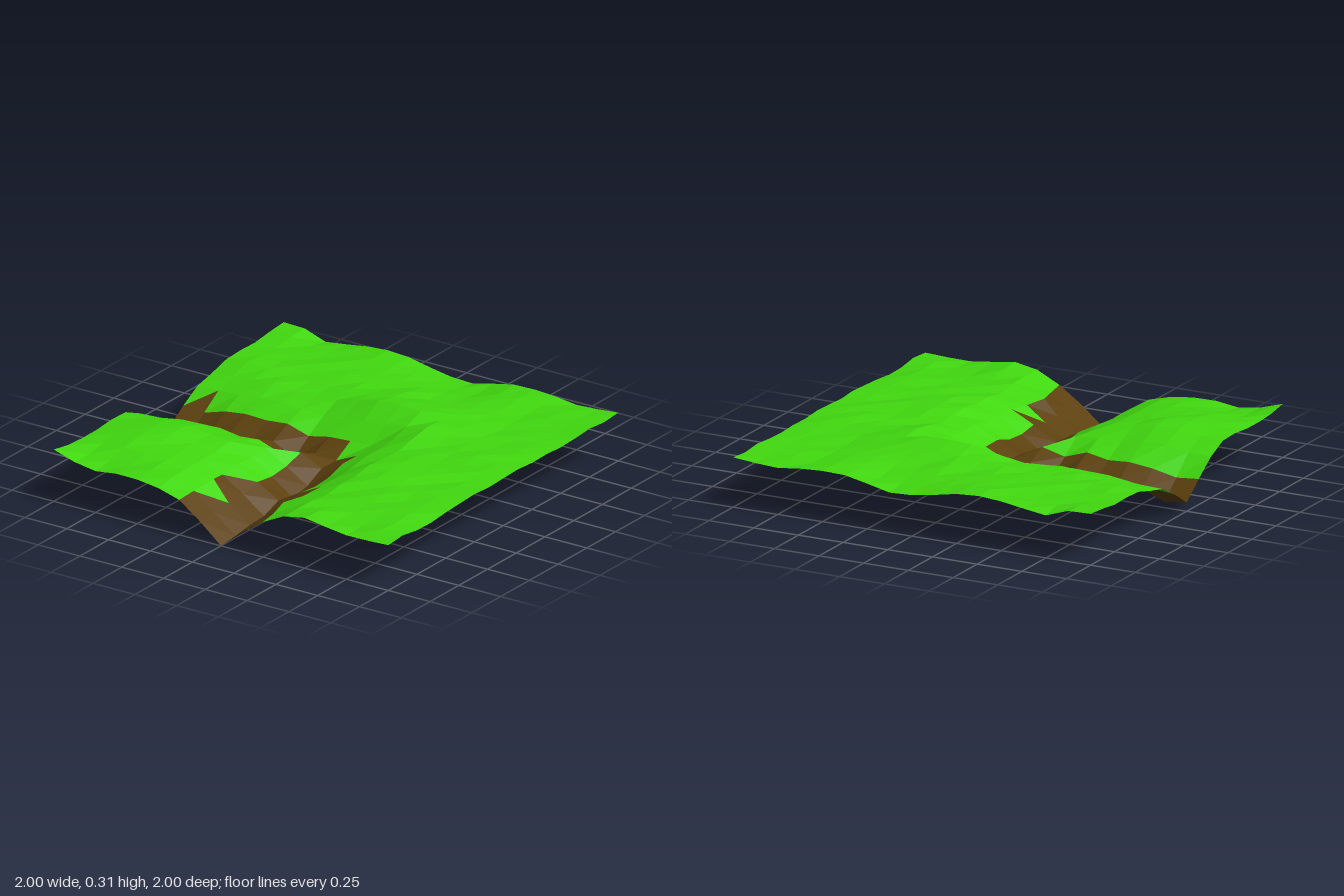
import * as THREE from 'three';

const N = 16, STEP = 2 / N, MID = N / 2;

// Bed heights of the two arms of the ditch, one value per grid step
const leftBed = [0.045, 0.03, 0.08, 0.11, 0.1, 0.125, 0.06, 0.12, 0.11]; // x = -1 .. 0
const frontBed = [0.11, 0.11, 0.06, 0.04, 0.07, 0.03, 0.025, 0.01, 0]; // z = 0 .. 1
const bank = [0, 0.4, 0.75, 0.95]; // rise of the bank per step from the bed

// Gentle rises and hollows in the grass: x, z, height, radius
const bumps = [
  [0.27, -0.3, 0.065, 0.2], [0, -0.4, 0.05, 0.15], [-0.75, 0.4, 0.045, 0.25],
  [-1, -1, 0.025, 0.15], [-0.72, -1, -0.025, 0.15], [-0.4, -1, 0.015, 0.15],
  [0.1, -1, -0.045, 0.2], [0.5, -1, 0.02, 0.15], [0.7, -1, -0.02, 0.12],
  [-0.75, 1, -0.03, 0.15], [-0.4, 1, -0.02, 0.12], [0.48, 1, 0.025, 0.15],
  [0.72, 1, -0.025, 0.15], [0.4, 0.2, 0.02, 0.2], [0.75, -0.1, 0.015, 0.2],
  [-1, -0.3, -0.03, 0.15], [-1, 1, 0.02, 0.12], [1, 0.7, -0.015, 0.15]
];

// Small sideways shifts of bank points, keyed by column,row
const shifts = {
  '10,13': [-0.02, 0], '10,14': [-0.05, 0], '10,15': [-0.02, 0],
  '6,14': [0, -0.05], '3,9': [0, -0.025], '2,9': [0, -0.015], '4,9': [0, -0.015]
};

function ripple(i, j) {
  const s = Math.sin(i * 12.9898 + j * 78.233) * 43758.5453;
  return (s - Math.floor(s) - 0.5) * 0.018;
}

function height(i, j) {
  const x = i * STEP - 1, z = j * STEP - 1;
  let ground = 0.25 + ripple(i, j);
  for (const [bx, bz, h, r] of bumps) {
    ground += h * Math.exp(-((x - bx) ** 2 + (z - bz) ** 2) / (r * r));
  }
  const carve = (bed, d) => bed + (ground - bed) * (bank[d] ?? 1);
  const dLeft = Math.max(i - MID, Math.abs(j - MID));
  const dFront = Math.max(MID - j, Math.abs(i - MID));
  return Math.min(
    carve(leftBed[Math.min(i, MID)], dLeft),
    carve(frontBed[Math.max(j - MID, 0)], dFront)
  );
}

function point(i, j) {
  const [dx, dz] = shifts[`${i},${j}`] ?? [0, 0];
  return [i * STEP - 1 + dx, height(i, j), j * STEP - 1 + dz];
}

// Is the back-left (half 0) or front-right (half 1) triangle of a cell bare earth?
function isEarth(i, j, half) {
  if (i < 8 && (j === 7 || j === 8)) return true;
  if ((i === 7 || i === 8) && j >= 8) return true;
  if (i === 0 && j === 6) return half === 1;
  if (i === 6 && j >= 12) return j === 13 || j === 15 || half === 1;
  if (i === 9 && j >= 12) return j > 12 || half === 0;
  return false;
}

function surface(name, color, positions) {
  const geometry = new THREE.BufferGeometry();
  geometry.setAttribute('position', new THREE.Float32BufferAttribute(positions, 3));
  geometry.computeVertexNormals();
  const mesh = new THREE.Mesh(geometry, new THREE.MeshStandardMaterial({
    color, flatShading: true, side: THREE.DoubleSide
  }));
  mesh.name = name;
  return mesh;
}

export function createModel() {
  const grass = [], earth = [];
  for (let j = 0; j < N; j++) {
    for (let i = 0; i < N; i++) {
      const a = point(i, j), b = point(i, j + 1);
      const c = point(i + 1, j + 1), d = point(i + 1, j);
      [[a, b, d], [b, c, d]].forEach((tri, half) => {
        (isEarth(i, j, half) ? earth : grass).push(...tri.flat());
      });
    }
  }
  const group = new THREE.Group();
  group.name = 'terrainTile';
  group.add(surface('grass', 0x41d80f, grass), surface('ditchBed', 0x5c400e, earth));
  return group;
}
